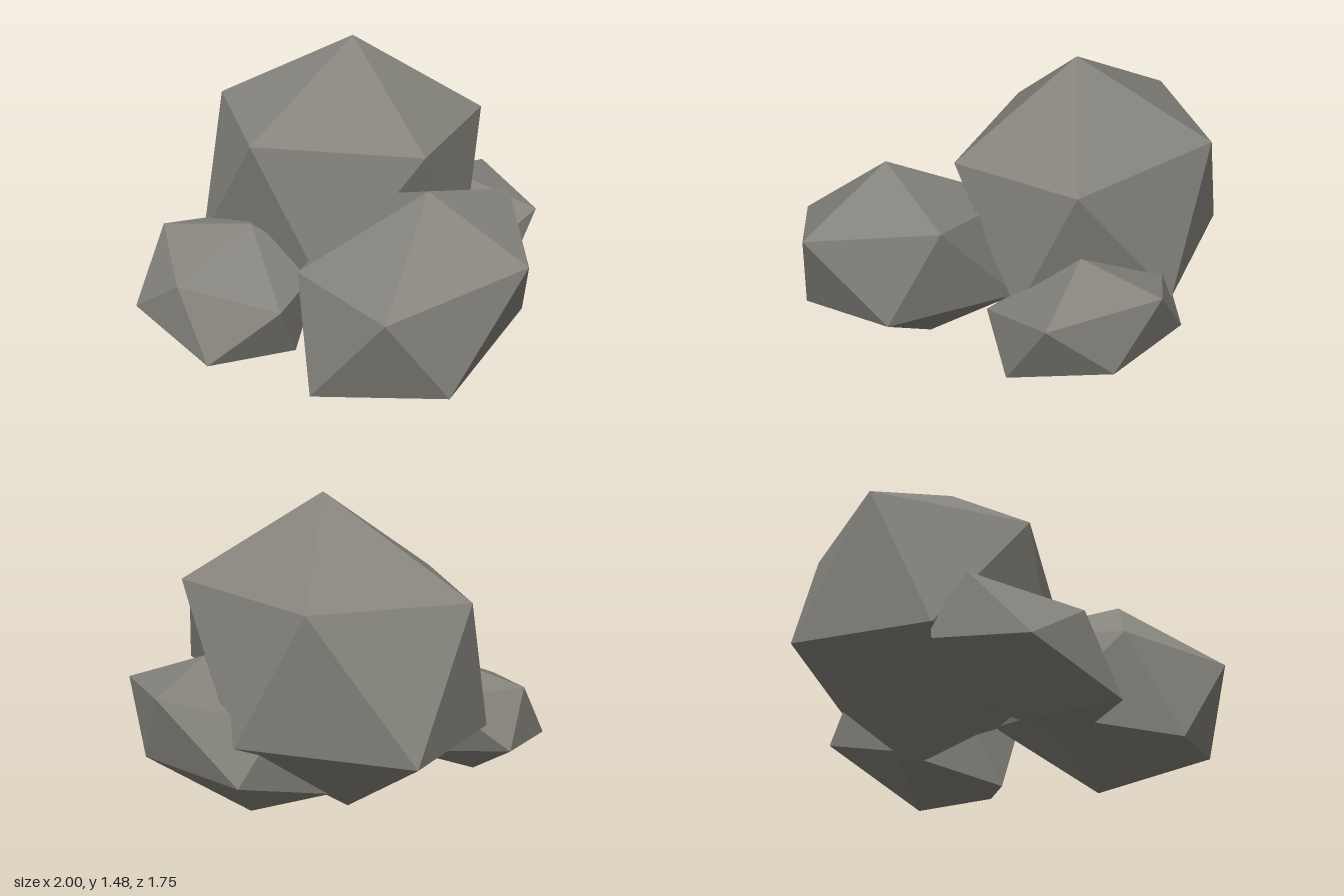
import * as THREE from 'three';
import { ConvexGeometry } from 'three/addons/geometries/ConvexGeometry.js';

// Each rock is a stretched, tilted icosahedron: a centre plus six corner
// offsets, each of which is mirrored through the centre.
const ROCKS = [
  {
    name: 'largeRock',
    centre: [-0.34, 0.773, -0.105],
    corners: [
      [0.1, 0.707, 0.015], [-0.61, 0.33, 0.175], [-0.03, 0.293, 0.58],
      [0.66, 0.29, 0.195], [0.505, 0.325, -0.45], [-0.285, 0.345, -0.47],
    ],
  },
  {
    name: 'mediumRock',
    centre: [0.425, 0.545, 0.3225],
    corners: [
      [0.095, 0.495, 0.0125], [0.575, 0.275, -0.0275], [0.245, 0.11, 0.4875],
      [-0.36, 0.105, 0.3325], [-0.415, 0.255, -0.2775], [0.165, 0.365, -0.4875],
    ],
  },
  {
    name: 'smallFrontRock',
    centre: [-0.493, 0.36, 0.53],
    corners: [
      [-0.007, 0.113, 0.31], [-0.39, 0.22, 0.03], [0.073, 0.305, -0.095],
      [0.435, 0.04, 0.11], [0.193, -0.21, 0.34], [-0.327, -0.095, 0.29],
    ],
  },
  {
    name: 'smallBackRock',
    centre: [0, 0.3775, -0.445],
    corners: [
      [0.43, 0.2225, -0.22], [0.085, 0.3725, -0.055], [-0.04, 0.3025, -0.435],
      [0.15, -0.0475, -0.355], [0.405, -0.1925, 0.075], [0.36, 0.0625, 0.265],
    ],
  },
];

function makeRock({ name, centre, corners }, material) {
  const points = corners.flatMap((c) => {
    const p = new THREE.Vector3(...c);
    return [p, p.clone().negate()];
  });
  const rock = new THREE.Mesh(new ConvexGeometry(points), material);
  rock.name = name;
  rock.position.set(...centre);
  return rock;
}

export function createModel() {
  const stone = new THREE.MeshStandardMaterial({ color: 0x85837c });
  stone.name = 'stone grey';

  const group = new THREE.Group();
  group.name = 'rockCluster';
  for (const rock of ROCKS) group.add(makeRock(rock, stone));
  return group;
}
